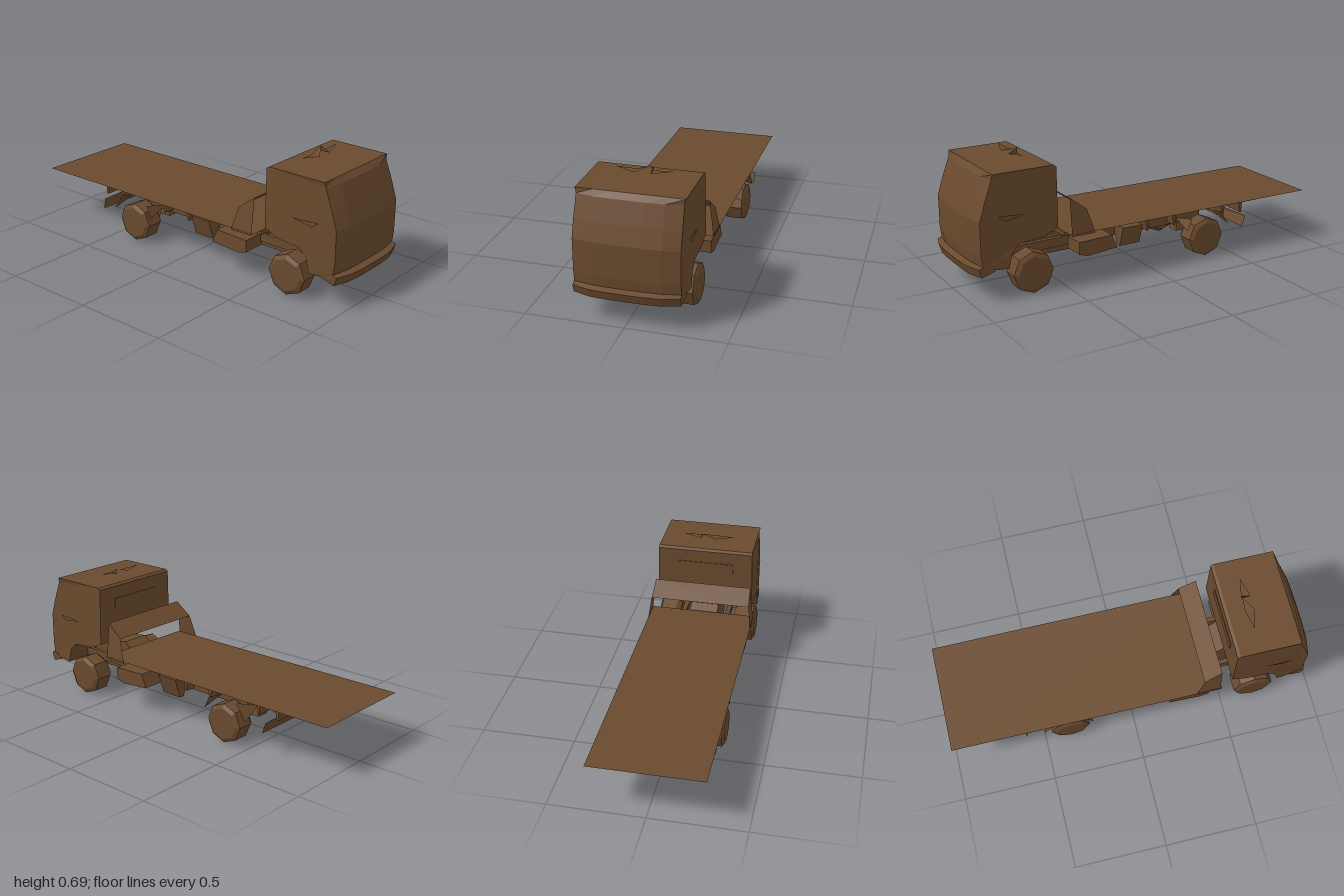
import * as THREE from 'three';

const paint = new THREE.MeshStandardMaterial({ color: 0x6a4a2e, flatShading: true, side: THREE.DoubleSide });
paint.name = 'brown';

export function createModel() {
  const truck = new THREE.Group();
  truck.name = 'flatbedTruck';

  const add = (name, geo) => {
    const m = new THREE.Mesh(geo, paint);
    m.name = name;
    truck.add(m);
    return m;
  };
  // box given by its extents
  const box = (name, x0, x1, y0, y1, z0, z1) =>
    add(name, new THREE.BoxGeometry(x1 - x0, y1 - y0, z1 - z0)
      .translate((x0 + x1) / 2, (y0 + y1) / 2, (z0 + z1) / 2));
  // side profile (x, y) extruded over z0..z1, then optionally reshaped by a rule giving [x, z]
  const profile = (name, pts, z0, z1, rule, steps = 1) => {
    const shape = new THREE.Shape(pts.map(p => new THREE.Vector2(p[0], p[1])));
    const geo = new THREE.ExtrudeGeometry(shape, { depth: z1 - z0, steps, bevelEnabled: false }).translate(0, 0, z0);
    if (rule) {
      const p = geo.attributes.position;
      for (let i = 0; i < p.count; i++) {
        const y = p.getY(i);
        const [x, z] = rule(p.getX(i), y, p.getZ(i));
        p.setXYZ(i, x, y, z);
      }
      geo.computeVertexNormals();
    }
    return add(name, geo);
  };
  // free triangles, three corners each
  const tri = (name, ...corners) => {
    const geo = new THREE.BufferGeometry();
    geo.setAttribute('position', new THREE.Float32BufferAttribute(corners.flat(), 3));
    geo.computeVertexNormals();
    return add(name, geo);
  };

  // cab: raked, bowed windscreen, wheel arch cut-out, narrower towards roof and nose
  profile('cab', [[0.54, 0.63], [0.555, 0.64], [0.88, 0.638], [0.905, 0.61], [0.945, 0.5], [0.973, 0.41],
    [0.972, 0.24], [0.962, 0.165], [0.81, 0.155], [0.79, 0.235], [0.75, 0.275], [0.62, 0.285], [0.54, 0.32]],
  -0.274, 0.274, (x, y, z) => {
    const nose = x > 0.93 ? 0.96 : x > 0.9 ? 0.975 : 1;
    const roof = y > 0.6 ? 0.975 : 1;
    const bow = x > 0.9 ? 0.022 * (z / 0.274) ** 4 : 0;
    return [x - bow, z * nose * roof];
  }, 6);
  // bumper, bowed back at the ends
  profile('bumper', [[0.88, 0.155], [0.985, 0.13], [1, 0.175], [0.97, 0.185], [0.89, 0.165]],
    -0.27, 0.27, (x, y, z) => [x > 0.95 ? x - 0.035 * (z / 0.27) ** 4 : x, z * (x > 0.95 ? 0.98 : 1)], 6);
  // raised panel on the cab's rear wall
  box('rearWallPanel', 0.536, 0.541, 0.5, 0.56, -0.16, 0.16);
  for (const s of [-1, 1]) {
    // door handle
    tri('doorHandle', [0.70, 0.42, s * 0.276], [0.86, 0.43, s * 0.276], [0.82, 0.40, s * 0.276]);
    // roof lights
    tri('roofLight', [0.64, 0.66, s * 0.04], [0.69, 0.66, s * 0.04], [0.66, 0.672, s * 0.145],
      [0.64, 0.66, s * 0.04], [0.64, 0.688, -0.038], [0.69, 0.66, s * 0.04]);
  }

  // flat, level deck sheet with a thin wedge-shaped subframe below
  add('deck', new THREE.PlaneGeometry(1.48, 0.59).rotateX(-Math.PI / 2).translate(-0.26, 0.272, 0));
  profile('deckSubframe', [[-0.72, 0.241], [0.48, 0.246], [0.48, 0.266], [0.1, 0.26]], -0.22, 0.22);

  // headboard: sloping sheet between two leaning side wings
  const foot = [0.34, 0.262, 0.294], knee = [0.38, 0.39, 0.278];
  const peak = [0.472, 0.46, 0.272], heel = [0.472, 0.262, 0.294];
  const flip = p => [p[0], p[1], -p[2]];
  tri('headboard', knee, peak, flip(peak), knee, flip(peak), flip(knee));
  tri('headboardWing', foot, heel, peak, foot, peak, knee);
  tri('headboardWing', ...[foot, heel, peak, foot, peak, knee].map(flip));

  // chassis
  for (const s of [-1, 1]) {
    const side = (name, x0, x1, y0, y1, za, zb) =>
      box(name, x0, x1, y0, y1, Math.min(s * za, s * zb), Math.max(s * za, s * zb));
    side('chassisRail', -0.4, 0.8, 0.165, 0.212, 0.115, 0.14);
    side('subframeRail', -0.6, 0.45, 0.212, 0.22, 0.115, 0.14);
    profile('fuelTank', [[0.2, 0.15], [0.37, 0.135], [0.42, 0.15], [0.42, 0.215], [0.23, 0.222]],
      s > 0 ? 0.15 : -0.27, s > 0 ? 0.27 : -0.15);
    // mudguard flaps around the rear wheels
    tri('mudguard', [-0.5, 0.155, s * 0.28], [-0.44, 0.24, s * 0.28], [-0.48, 0.2, s * 0.15]);
    tri('mudguard', [-0.23, 0.16, s * 0.28], [-0.26, 0.225, s * 0.28], [-0.24, 0.2, s * 0.15]);
    // spring hangers
    tri('springHanger', [-0.38, 0.17, s * 0.1], [-0.32, 0.17, s * 0.075], [-0.35, 0.075, s * 0.088]);
  }
  // wedge-shaped boxes between the axles
  for (const s of [-1, 1])
    profile('toolBox', [[0.02, 0.122], [0.14, 0.122], [0.14, 0.23], [0.02, 0.23]], -0.05, 0.05,
      (x, y, z) => [x, s * 0.18 + (y < 0.15 ? z * 0.3 : z)]);

  // cross members under the deck
  for (const x of [-0.64, -0.52, -0.2, -0.03])
    profile('crossMember', [[x - 0.01, 0.24], [x + 0.015, 0.24], [x + 0.008, 0.18], [x - 0.003, 0.175]], -0.2, 0.2);
  // rear guard, a folded strip thinning towards both ends
  tri('rearGuard', [-0.62, 0.18, -0.27], [-0.59, 0.18, 0.27], [-0.6, 0.12, 0.27],
    [-0.62, 0.18, -0.27], [-0.6, 0.12, 0.27], [-0.6, 0.12, -0.27]);

  // engine and gearbox
  profile('engine', [[0.48, 0.17], [0.58, 0.12], [0.78, 0.115], [0.8, 0.23], [0.62, 0.275], [0.55, 0.285], [0.5, 0.25]],
    -0.08, 0.08);
  profile('gearbox', [[0.37, 0.115], [0.57, 0.115], [0.6, 0.16], [0.5, 0.23], [0.34, 0.215]], -0.08, 0.08);

  // differential with a tapering sump
  add('differential', new THREE.CylinderGeometry(0.02, 0.05, 0.12, 4).rotateY(Math.PI / 4).translate(-0.355, 0.135, 0));
  add('rearAxle', new THREE.CylinderGeometry(0.018, 0.018, 0.34, 4).rotateX(Math.PI / 2).translate(-0.355, 0.14, 0));

  // wheels
  const tyre = [[0, -0.05], [0.088, -0.062], [0.11, -0.035], [0.11, 0.05], [0.088, 0.062], [0, 0.062]]
    .map(p => new THREE.Vector2(p[0], p[1]));
  for (const [name, x, r] of [['frontWheel', 0.677, 0.109], ['rearWheel', -0.355, 0.106]])
    for (const s of [-1, 1]) {
      const wheel = add(name, new THREE.LatheGeometry(tyre, 8).rotateX(s * Math.PI / 2));
      wheel.scale.set(r / 0.11, r / 0.11, 1);
      wheel.position.set(x, r, s * 0.222);
    }

  return truck;
}
